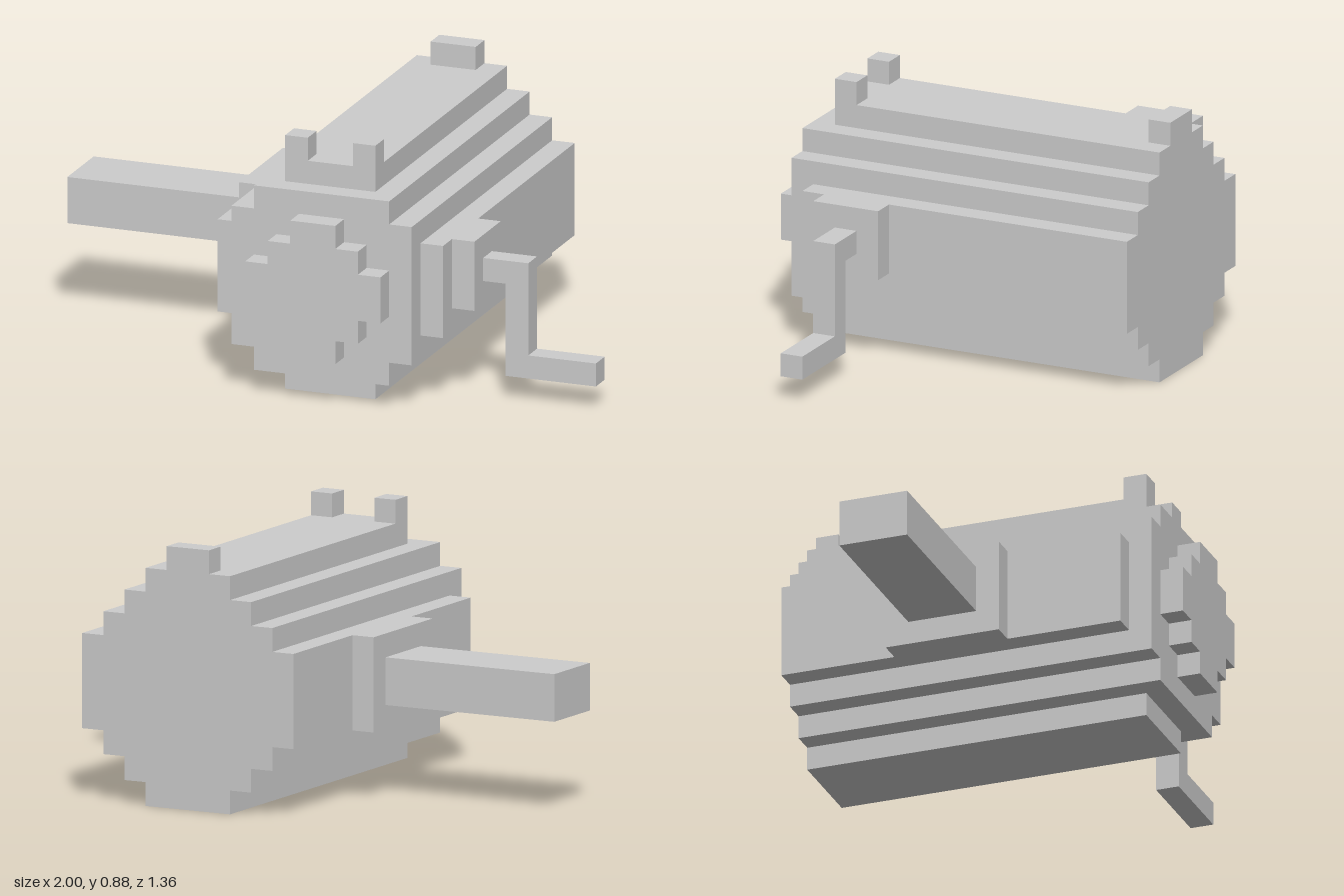
import * as THREE from 'three';

const U = 0.08; // one block
const CX = 0.12, CY = 0.4; // axis of the drum

export function createModel() {
  const model = new THREE.Group();
  const material = new THREE.MeshStandardMaterial({ color: 0xcccccc, flatShading: true });

  function add(name, geometry) {
    const mesh = new THREE.Mesh(geometry, material);
    mesh.name = name;
    model.add(mesh);
    return mesh;
  }

  // Box given by its lower and upper corners
  function box(name, [x0, y0, z0], [x1, y1, z1]) {
    const mesh = add(name, new THREE.BoxGeometry(x1 - x0, y1 - y0, z1 - z0));
    mesh.position.set((x0 + x1) / 2, (y0 + y1) / 2, (z0 + z1) / 2);
  }

  // Blocky disc: steps are [half width, half height] in blocks, widest first
  function steppedDisc(name, steps, z0, z1) {
    const quarter = [];
    steps.forEach(([w, h], i) => {
      quarter.push([w, i ? steps[i - 1][1] : 0], [w, h]);
    });
    quarter.shift();
    const mirrored = [...quarter].reverse();
    const outline = [
      ...quarter,
      ...mirrored.map(([x, y]) => [-x, y]),
      ...quarter.map(([x, y]) => [-x, -y]),
      ...mirrored.map(([x, y]) => [x, -y]),
    ].map(([x, y]) => new THREE.Vector2(x * U, y * U));
    const geometry = new THREE.ExtrudeGeometry(new THREE.Shape(outline), {
      depth: z1 - z0, bevelEnabled: false,
    });
    add(name, geometry).position.set(CX, CY, z0);
  }

  // Drum and its two stepped front layers
  steppedDisc('drum', [[5, 2], [4, 3], [3, 4], [2, 5]], -0.68, 0.52);
  steppedDisc('frontLayer', [[4, 3], [3, 4]], 0.52, 0.6);
  steppedDisc('frontCap', [[3, 1], [2, 2], [1, 3]], 0.6, 0.68);

  // Sights on top: a pair in front, one wide at the back
  box('frontSightRight', [-0.04, 0.8, 0.44], [0.04, 0.88, 0.52]);
  box('frontSightLeft', [0.2, 0.8, 0.44], [0.28, 0.88, 0.52]);
  box('rearSight', [0.04, 0.8, -0.68], [0.2, 0.88, -0.6]);

  // Side arm with its mounting plate
  box('armPlate', [-0.36, 0.24, -0.28], [-0.28, 0.56, 0.12]);
  box('arm', [-1, 0.32, -0.2], [-0.36, 0.48, 0.04]);

  // Crank with its mounting plate
  box('crankPlate', [0.52, 0.32, 0.2], [0.6, 0.56, 0.44]);
  box('crankAxle', [0.6, 0.4, 0.28], [0.68, 0.48, 0.36]);
  box('crankArm', [0.68, 0.08, 0.28], [0.76, 0.48, 0.36]);
  box('crankHandle', [0.76, 0.08, 0.28], [1, 0.16, 0.36]);

  return model;
}
